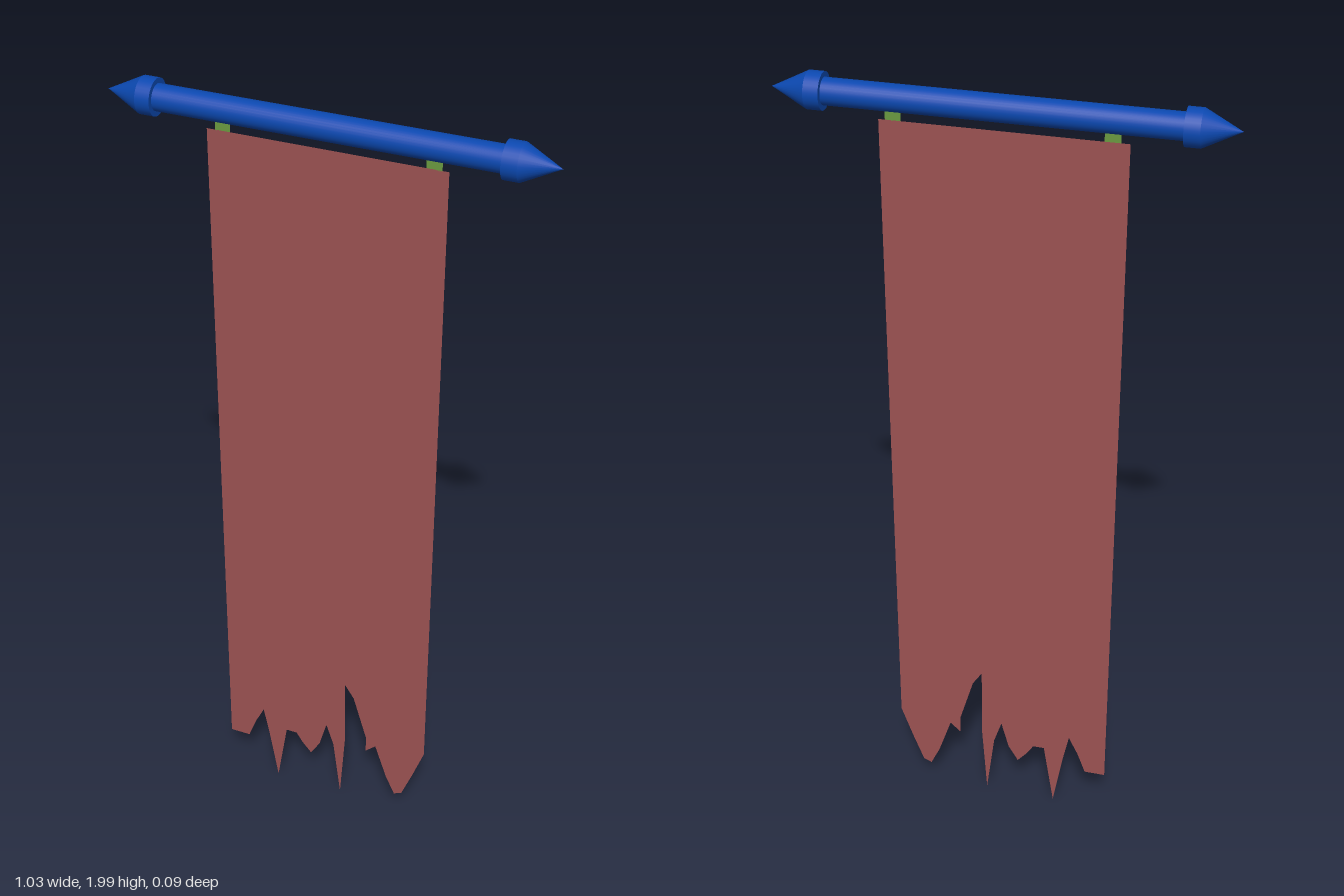
import * as THREE from 'three';

const ROD_Y = 1.957;

export function createModel() {
  const model = new THREE.Group();
  const blue = new THREE.MeshStandardMaterial({ color: 0x0b48b0 });
  const red = new THREE.MeshStandardMaterial({ color: 0x9c5252, side: THREE.DoubleSide });
  const green = new THREE.MeshStandardMaterial({ color: 0x6a9a40, side: THREE.DoubleSide });

  const add = (parent, name, geometry, material, x, y) => {
    const mesh = new THREE.Mesh(geometry, material);
    mesh.name = name;
    mesh.position.set(x, y, 0);
    parent.add(mesh);
    return mesh;
  };

  // Horizontal rod
  const rod = add(model, 'rod', new THREE.CylinderGeometry(0.0305, 0.0305, 0.8, 32), blue, 0, ROD_Y);
  rod.rotation.z = Math.PI / 2;

  // Pointed finials: a short collar and a cone, turned outward on each end
  for (const side of [-1, 1]) {
    const finial = new THREE.Group();
    finial.name = side > 0 ? 'leftFinial' : 'rightFinial';
    finial.position.set(side * 0.397, ROD_Y, 0);
    finial.rotation.z = -side * Math.PI / 2;
    add(finial, 'collar', new THREE.CylinderGeometry(0.0425, 0.0425, 0.035, 32), blue, 0, 0.0175);
    add(finial, 'point', new THREE.ConeGeometry(0.0425, 0.085, 32, 1, true), blue, 0, 0.0775);
    model.add(finial);

    // Flat strap joining cloth and rod
    add(model, side > 0 ? 'leftStrap' : 'rightStrap',
      new THREE.PlaneGeometry(0.036, 0.04), green, side * 0.243, 1.923);
  }

  // Thin cloth with a torn lower edge, listed from -x to +x
  const tornEdge = [
    [-0.281, 0.122], [-0.228, 0.122], [-0.207, 0.18], [-0.183, 0.23], [-0.168, 0.155],
    [-0.143, 0.005], [-0.116, 0.18], [-0.087, 0.18], [-0.07, 0.152], [-0.045, 0.122],
    [-0.02, 0.165], [0, 0.24], [0.02, 0.177], [0.04, 0.01], [0.053, 0.2], [0.053, 0.4],
    [0.077, 0.362], [0.113, 0.235], [0.113, 0.188], [0.14, 0.213], [0.172, 0.114],
    [0.196, 0.06], [0.217, 0.07], [0.245, 0.145], [0.276, 0.235],
  ];
  const outline = [...tornEdge, [0.276, 1.905], [-0.281, 1.905]];
  const cloth = new THREE.Shape(outline.map(([x, y]) => new THREE.Vector2(x, y)));
  add(model, 'cloth', new THREE.ShapeGeometry(cloth), red, 0, 0);

  return model;
}
